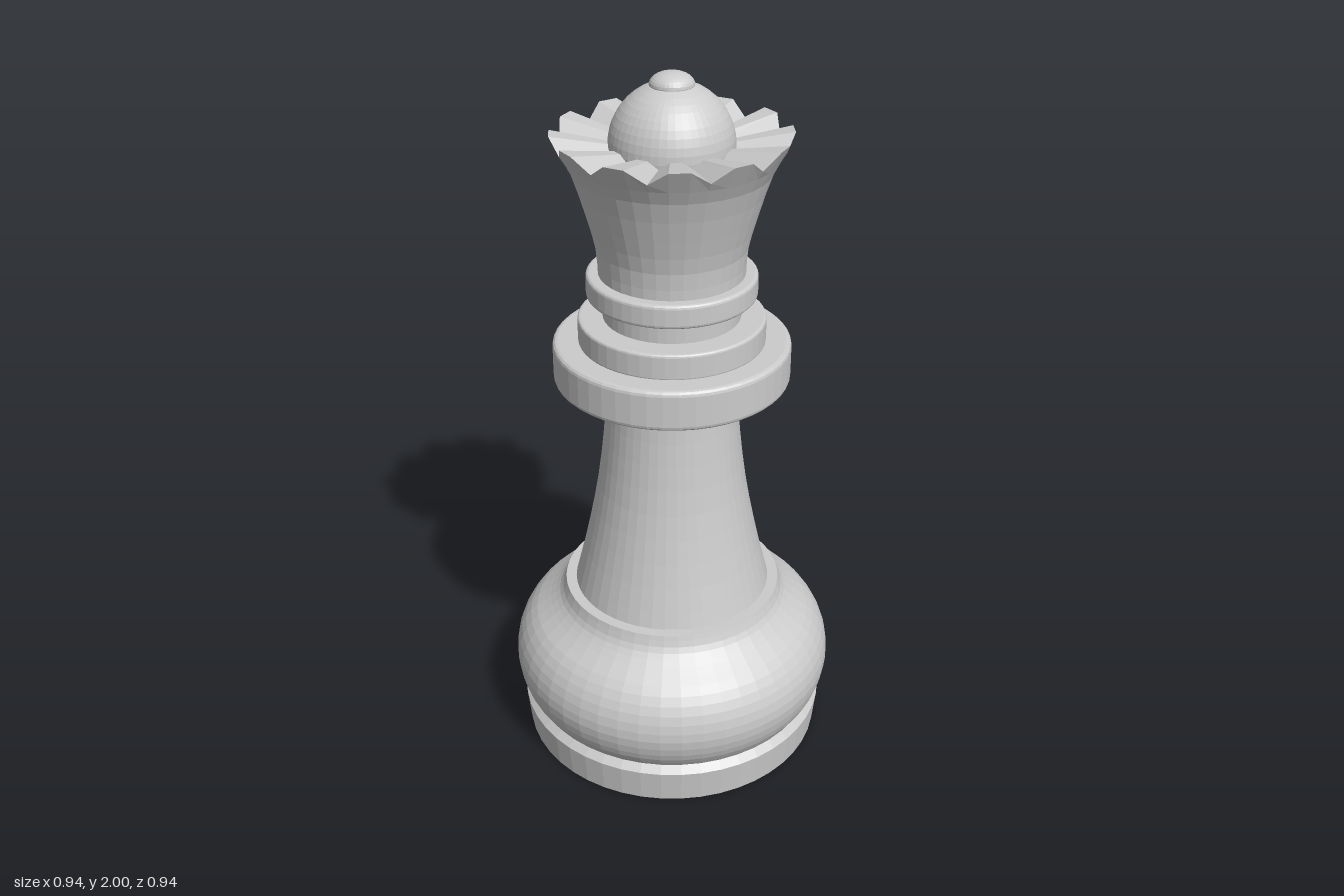
import * as THREE from 'three';

const SIDES = 48;
const material = new THREE.MeshStandardMaterial({ color: 0xcccccc, flatShading: true });
const toPoints = (pairs) => pairs.map(([r, y]) => new THREE.Vector2(r, y));
const smooth = (pairs, n) => new THREE.SplineCurve(toPoints(pairs)).getPoints(n);

export function createModel() {
  const group = new THREE.Group();

  const add = (name, geometry) => {
    const mesh = new THREE.Mesh(geometry, material);
    mesh.name = name;
    group.add(mesh);
    return mesh;
  };
  const turn = (name, points) => add(name, new THREE.LatheGeometry(points, SIDES));

  // Disc with softly rounded rims
  const ring = (name, radius, bottom, top, b = 0.014) => {
    const pts = [[0, bottom]];
    for (let i = 0; i <= 3; i++) {
      const a = (i / 3) * Math.PI / 2;
      pts.push([radius - b + b * Math.sin(a), bottom + b - b * Math.cos(a)]);
    }
    for (let i = 0; i <= 3; i++) {
      const a = (i / 3) * Math.PI / 2;
      pts.push([radius - b + b * Math.cos(a), top - b + b * Math.sin(a)]);
    }
    pts.push([0, top]);
    turn(name, toPoints(pts));
  };

  // Foot, bulging base and tapering stem
  turn('foot', toPoints([[0, 0], [0.44, 0], [0.45, 0.1], [0.43, 0.12], [0, 0.12]]));
  turn('base', [
    ...toPoints([[0, 0.12]]),
    ...smooth([[0.43, 0.12], [0.457, 0.17], [0.47, 0.24], [0.457, 0.31], [0.42, 0.37],
      [0.365, 0.415], [0.33, 0.45], [0.314, 0.49]], 18),
    ...toPoints([[0.27, 0.49]]),
  ]);
  turn('stem', smooth([[0.285, 0.485], [0.247, 0.64], [0.212, 0.82], [0.19, 1.0], [0.178, 1.16]], 10));

  // Collar stack
  ring('lowerCollar', 0.325, 1.155, 1.27);
  ring('middleCollar', 0.255, 1.265, 1.34, 0.008);
  turn('neck', toPoints([[0.187, 1.33], [0.187, 1.41]]));
  ring('upperCollar', 0.23, 1.4, 1.466, 0.01);

  // Crown: flared wall and fluted top, twelve petals of three facets each
  const wall = smooth([[0.197, 1.46], [0.202, 1.54], [0.226, 1.635], [0.262, 1.75], [0.295, 1.81]], 8);
  const profile = [...wall, ...toPoints([[0.1, 1.797], [0, 1.79]])];
  const crown = new THREE.LatheGeometry(profile, 36);
  const pos = crown.attributes.position;
  for (let i = 0; i < pos.count; i++) {
    const step = Math.floor(i / profile.length);
    const j = i % profile.length;
    if (step % 3 === 0 || j < wall.length - 1) continue;
    const share = profile[j].x / 0.295;
    const grow = j === wall.length - 1 ? 1.06 : 1;
    pos.setXYZ(i, pos.getX(i) * grow, pos.getY(i) + 0.037 * share, pos.getZ(i) * grow);
  }
  crown.computeVertexNormals();
  add('crown', crown);

  // Dome and finial
  add('dome', new THREE.SphereGeometry(0.164, SIDES, 24)).position.y = 1.812;
  const finial = add('finial', new THREE.SphereGeometry(0.058, 32, 16));
  finial.scale.y = 0.56;
  finial.position.y = 1.9675;

  return group;
}
